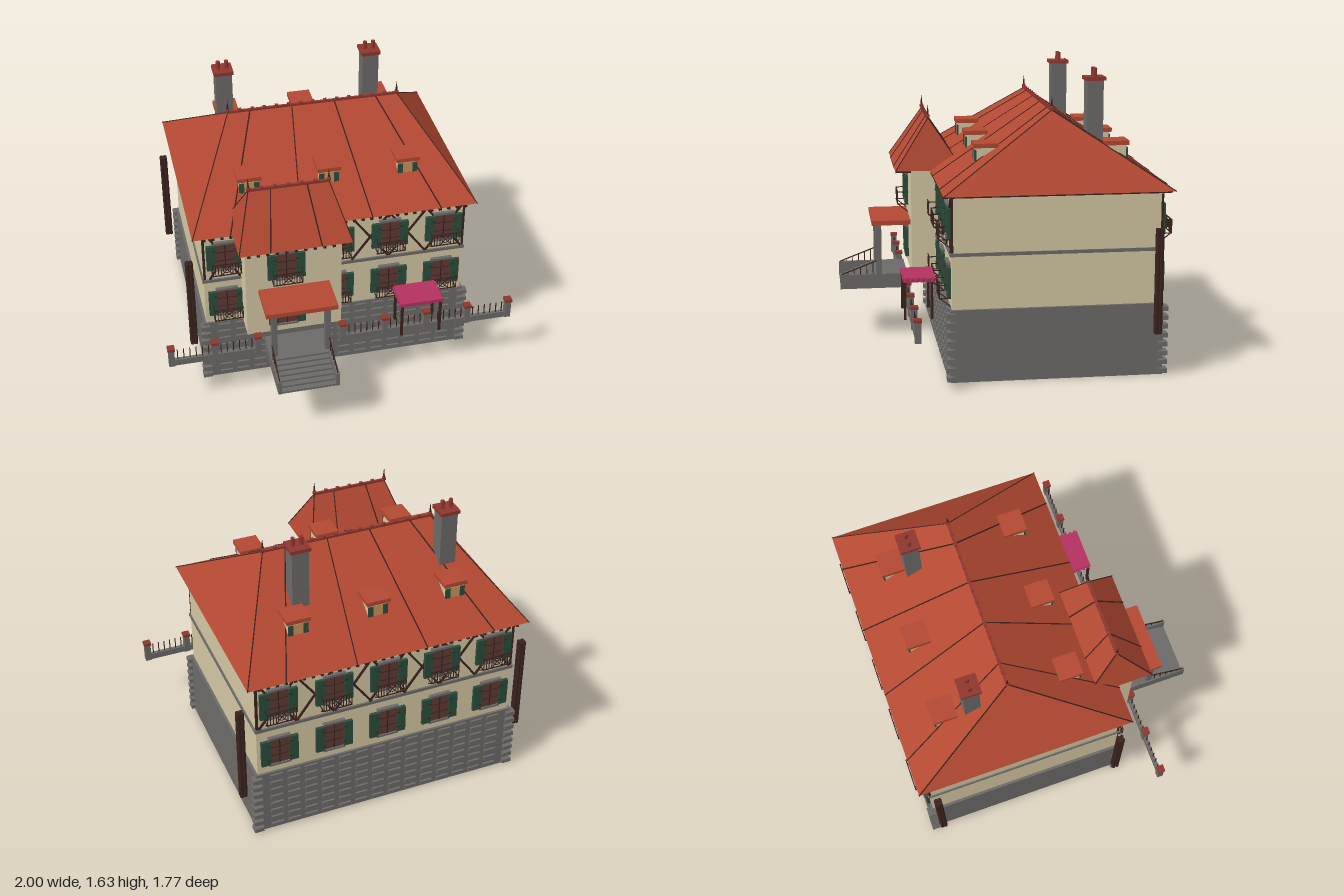
import * as THREE from 'three';

const mat = (name, color) => {
  const m = new THREE.MeshStandardMaterial({ color });
  m.name = name;
  return m;
};

export function createModel() {
  const red = mat('roofRed', 0xb24832), darkRed = mat('capRed', 0x8e362e);
  const cream = mat('plaster', 0xd2c6a2), gray = mat('stone', 0x6c6a67);
  const brown = mat('darkTimber', 0x3a221d), pane = mat('windowBrown', 0x5e3a33);
  const green = mat('shutterGreen', 0x2a4c3c), pink = mat('awningPink', 0xb3315f);
  const amber = mat('dormerPane', 0xc8935a);

  const root = new THREE.Group();
  root.name = 'villa';
  const group = (name, parent = root) => {
    const g = new THREE.Group();
    g.name = name;
    parent.add(g);
    return g;
  };
  const add = (parent, name, geo, m, x = 0, y = 0, z = 0) => {
    const mesh = new THREE.Mesh(geo, m);
    mesh.name = name;
    mesh.position.set(x, y, z);
    parent.add(mesh);
    return mesh;
  };
  // box given by its extents
  const box = (parent, name, m, x0, x1, y0, y1, z0, z1) =>
    add(parent, name, new THREE.BoxGeometry(x1 - x0, y1 - y0, z1 - z0), m,
      (x0 + x1) / 2, (y0 + y1) / 2, (z0 + z1) / 2);
  // square bar between two points
  const bar = (parent, name, m, a, b, t) => {
    const p = new THREE.Vector3(...a), q = new THREE.Vector3(...b);
    const d = q.clone().sub(p);
    const mesh = add(parent, name, new THREE.BoxGeometry(t, d.length(), t), m);
    mesh.position.copy(p).add(q).multiplyScalar(0.5);
    mesh.quaternion.setFromUnitVectors(new THREE.Vector3(0, 1, 0), d.normalize());
    return mesh;
  };

  // stone base with corner quoins and raised bricks
  const base = group('base');
  box(base, 'baseBlock', gray, -0.765, 0.765, 0, 0.4, -0.835, 0.32);
  for (let i = 0; i < 8; i++) {
    const y = 0.012 + i * 0.05;
    for (const s of [-1, 1]) for (const [z0, z1] of [[0.295, 0.34], [-0.857, -0.81]])
      box(base, 'quoin', gray, s * 0.76 - 0.027, s * 0.76 + 0.027, y, y + 0.025, z0, z1);
    for (let x = -0.65; x < 0.7; x += 0.1) for (const z of [0.32, -0.835])
      box(base, 'brick', gray, x - 0.035, x + 0.035, y, y + 0.025, z - 0.012, z + 0.012);
  }

  // walls and string course
  const walls = group('walls');
  box(walls, 'mainWalls', cream, -0.75, 0.75, 0.4, 1.02, -0.822, 0.31);
  box(walls, 'towerWalls', cream, -0.54, 0, 0.4, 1.03, 0.2, 0.465);
  box(walls, 'frontBandLeft', gray, -0.758, -0.54, 0.69, 0.708, 0.2, 0.32);
  box(walls, 'frontBandRight', gray, 0, 0.758, 0.69, 0.708, 0.2, 0.32);
  box(walls, 'bandAround', gray, -0.758, 0.758, 0.69, 0.708, -0.832, 0.2);
  box(walls, 'wallPlate', brown, -0.756, 0.756, 1.003, 1.018, -0.828, 0.316);

  // half-timber crosses of the upper storey
  const timber = group('halfTimber');
  for (const [z, centres] of [[0.313, [0.2, 0.417, 0.63]],
    [-0.825, [-0.63, -0.417, -0.2, 0, 0.2, 0.417, 0.63]]])
    for (const x of centres) for (const s of [-1, 1])
      bar(timber, 'brace', brown, [x - s * 0.105, 0.71, z], [x + s * 0.105, 1.0, z], 0.011);
  for (const s of [-1, 1]) bar(timber, 'brace', brown, [-0.63 - s * 0.085, 0.71, 0.313], [-0.63 + s * 0.085, 1.0, 0.313], 0.011);
  for (const x of [-0.744, 0.744]) for (const z of [0.308, -0.82])
    bar(timber, 'cornerPost', brown, [x, 0.71, z], [x, 1.0, z], 0.013);

  // closed hip roof: eave rectangle, ridge along x
  const hipRoof = (name, cx, ex, rx, ze0, ze1, y0, y1, seams) => {
    const g = group(name), zr = (ze0 + ze1) / 2;
    const A = [cx - ex, y0, ze1], B = [cx + ex, y0, ze1], C = [cx + ex, y0, ze0], D = [cx - ex, y0, ze0];
    const L = [cx - rx, y1, zr], R = [cx + rx, y1, zr];
    const tris = [A, B, R, A, R, L, C, D, L, C, L, R, B, C, R, D, A, L, A, D, C, A, C, B];
    const geo = new THREE.BufferGeometry();
    geo.setAttribute('position', new THREE.Float32BufferAttribute(tris.flat(), 3));
    geo.computeVertexNormals();
    add(g, 'roofSlopes', geo, red);
    for (const [p, q] of [[A, L], [D, L], [B, R], [C, R]]) bar(g, 'hipSeam', brown, p, q, 0.005);
    for (const u of seams) for (const z of [ze0, ze1])
      bar(g, 'roofSeam', brown, [cx + u * rx, y1, zr], [cx + u * ex, y0, z], 0.006);
    // ridge cap, knobs and finials
    box(g, 'ridgeCap', darkRed, cx - rx, cx + rx, y1 - 0.006, y1 + 0.008, zr - 0.007, zr + 0.007);
    const n = Math.round(rx * 2 / 0.07);
    for (let i = 0; i <= n; i++) {
      const x = cx - rx + 2 * rx * i / n;
      box(g, 'ridgeKnob', darkRed, x - 0.009, x + 0.009, y1, y1 + 0.016, zr - 0.009, zr + 0.009);
    }
    for (const x of [cx - rx, cx + rx]) {
      add(g, 'finialBall', new THREE.SphereGeometry(0.012, 8, 6), darkRed, x, y1 + 0.012, zr);
      add(g, 'finialSpike', new THREE.CylinderGeometry(0.001, 0.008, 0.07, 6), brown, x, y1 + 0.038, zr);
    }
    return g;
  };
  const mainRoof = hipRoof('mainRoof', 0, 0.805, 0.49, -0.88, 0.357, 1.02, 1.42, [-0.74, -0.25, 0.25, 0.74]);
  const towerRoof = hipRoof('towerRoof', -0.27, 0.313, 0.22, 0.167, 0.555, 1.02, 1.31, [-0.45, 0.45]);
  for (let x = -0.74; x < 0.75; x += 0.0493) {
    box(mainRoof, 'rafterEnd', brown, x - 0.008, x + 0.008, 1.002, 1.019, -0.873, -0.82);
    if (x < -0.56 || x > 0.03) box(mainRoof, 'rafterEnd', brown, x - 0.008, x + 0.008, 1.002, 1.019, 0.31, 0.355);
  }
  for (let x = -0.53; x < 0.01; x += 0.052)
    box(towerRoof, 'rafterEnd', brown, x - 0.008, x + 0.008, 1.002, 1.019, 0.465, 0.552);

  // dormers on both long slopes
  for (const x of [-0.45, 0, 0.45]) for (const s of [1, -1]) {
    const g = group('dormer');
    g.position.set(x, 0, -0.262);
    g.rotation.y = s > 0 ? 0 : Math.PI;
    box(g, 'dormerBody', cream, -0.055, 0.055, 1.12, 1.227, 0.2, 0.412);
    box(g, 'dormerCap', red, -0.067, 0.067, 1.225, 1.249, 0.29, 0.425);
    box(g, 'dormerWindow', amber, -0.028, 0.028, 1.152, 1.215, 0.41, 0.416);
    for (const k of [-1, 1])
      box(g, 'dormerShutter', green, k * 0.042 - 0.014, k * 0.042 + 0.014, 1.152, 1.212, 0.41, 0.419);
  }

  // chimneys
  for (const [x, z] of [[-0.48, -0.468], [0.388, -0.512]]) {
    const g = group('chimney');
    box(g, 'chimneyStack', gray, x - 0.047, x + 0.047, 1.15, 1.57, z - 0.045, z + 0.045);
    box(g, 'chimneyCap', darkRed, x - 0.056, x + 0.056, 1.568, 1.588, z - 0.056, z + 0.056);
    for (const k of [-1, 1])
      add(g, 'flue', new THREE.CylinderGeometry(0.012, 0.012, 0.05, 8), darkRed, x + k * 0.024, 1.61, z);
  }

  // shuttered window, local origin at its sill on the wall face
  const makeWindow = (x, y, z, back, balcony) => {
    const g = group('window');
    g.position.set(x, y, z);
    if (back) g.rotation.y = Math.PI;
    box(g, 'windowPane', pane, -0.056, 0.056, 0, 0.17, 0, 0.012);
    box(g, 'mullion', brown, -0.003, 0.003, 0, 0.17, 0.01, 0.015);
    for (const h of [0.057, 0.113]) box(g, 'glazingBar', brown, -0.054, 0.054, h - 0.002, h + 0.002, 0.01, 0.014);
    box(g, 'lintel', gray, -0.062, 0.062, 0.168, 0.182, 0, 0.02);
    box(g, 'sill', gray, -0.062, 0.062, -0.01, 0.002, 0, 0.02);
    for (const s of [-1, 1]) {
      box(g, 'shutter', green, s * 0.08 - 0.025, s * 0.08 + 0.025, 0, 0.163, 0.003, 0.021);
      for (const h of [0.03, 0.13]) box(g, 'hinge', brown, s * 0.063 - 0.01, s * 0.063 + 0.01, h, h + 0.006, 0.019, 0.024);
    }
    if (!balcony) return;
    const b = group('balcony', g), f = 0.062, t = 0.005;
    for (const h of [-0.008, 0.065]) {
      bar(b, 'rail', brown, [-0.083, h, f], [0.083, h, f], t);
      for (const s of [-1, 1]) bar(b, 'sideRail', brown, [s * 0.08, h, 0], [s * 0.08, h, f], t);
    }
    for (const u of [-0.08, -0.064, -0.048, -0.032, 0.032, 0.048, 0.064, 0.08])
      bar(b, 'baluster', brown, [u, -0.008, f], [u, 0.065, f], 0.004);
    add(b, 'ornamentRing', new THREE.TorusGeometry(0.022, 0.003, 4, 12), brown, 0, 0.029, f);
    for (const s of [-1, 1]) {
      bar(b, 'ornamentCross', brown, [-0.03, 0.029 - s * 0.034, f], [0.03, 0.029 + s * 0.034, f], 0.004);
      bar(b, 'bracket', brown, [s * 0.07, -0.055, 0.002], [s * 0.07, -0.008, f], t);
    }
  };
  for (const x of [-0.625, -0.3125, 0, 0.3125, 0.625]) {
    const onTower = x === -0.3125, z = onTower ? 0.465 : 0.31;
    makeWindow(x, 0.78, z, false, true);
    makeWindow(x, 0.46, z, false, !onTower);
    makeWindow(x, 0.78, -0.822, true, true);
    makeWindow(x, 0.46, -0.822, true, false);
  }

  // tall side posts, each a bundle of four bars
  for (const [x, z] of [[-0.825, 0.29], [-0.825, -0.79], [0.825, -0.79]]) {
    const g = group('sidePost');
    for (const i of [-1, 1]) for (const k of [-1, 1])
      add(g, 'postBar', new THREE.CylinderGeometry(0.0115, 0.0115, 0.575, 8), brown, x + i * 0.01, 0.538, z + k * 0.01);
  }

  // porch and steps
  const porch = group('porch');
  box(porch, 'porchRoof', red, -0.47, -0.07, 0.683, 0.71, 0.46, 0.69);
  box(porch, 'landing', gray, -0.43, -0.12, 0.3, 0.385, 0.485, 0.69);
  for (let i = 0; i < 6; i++)
    box(porch, 'step', gray, -0.43, -0.12, 0.3, 0.373 - i * 0.012, 0.69 + i * 0.031, 0.721 + i * 0.031);
  for (const x of [-0.422, -0.122]) {
    box(porch, 'column', gray, x - 0.016, x + 0.016, 0.38, 0.685, 0.634, 0.666);
    const c = x < -0.3 ? -0.437 : -0.113;
    box(porch, 'stepCheek', gray, c - 0.01, c + 0.01, 0.3, 0.385, 0.485, 0.878);
    bar(porch, 'handrail', brown, [c, 0.385, 0.87], [c, 0.465, 0.66], 0.006);
    for (let i = 1; i < 6; i++)
      bar(porch, 'handrailBar', brown, [c, 0.38, 0.87 - i * 0.037], [c, 0.385 + i * 0.014, 0.87 - i * 0.037], 0.005);
  }

  // garden fence
  const fence = group('fence');
  for (const [x0, x1] of [[-0.98, -0.49], [0, 0.98]]) {
    box(fence, 'fenceWall', gray, x0, x1, 0.3, 0.338, 0.499, 0.521);
    for (let x = x0; x < x1 + 0.01; x += 0.245) {
      box(fence, 'pillar', gray, x - 0.017, x + 0.017, 0.3, 0.41, 0.493, 0.527);
      box(fence, 'pillarCap', darkRed, x - 0.021, x + 0.021, 0.41, 0.426, 0.489, 0.531);
      if (x < x1 - 0.1) for (let i = 1; i < 7; i++)
        bar(fence, 'fenceBar', brown, [x + i * 0.035, 0.335, 0.51], [x + i * 0.035, 0.405, 0.51], 0.005);
    }
  }

  // awning on four legs with a scalloped edge
  const awning = group('awning');
  box(awning, 'canopy', pink, 0.328, 0.568, 0.51, 0.532, 0.38, 0.555);
  for (const x of [0.328, 0.568]) for (let i = 0; i < 6; i++)
    add(awning, 'scallop', new THREE.CylinderGeometry(0.01, 0.01, 0.018, 8), pink, x, 0.519, 0.395 + i * 0.029);
  for (const x of [0.336, 0.56]) for (const z of [0.4, 0.545])
    bar(awning, 'awningLeg', brown, [x, 0.3, z], [x, 0.512, z], 0.014);

  return root;
}
